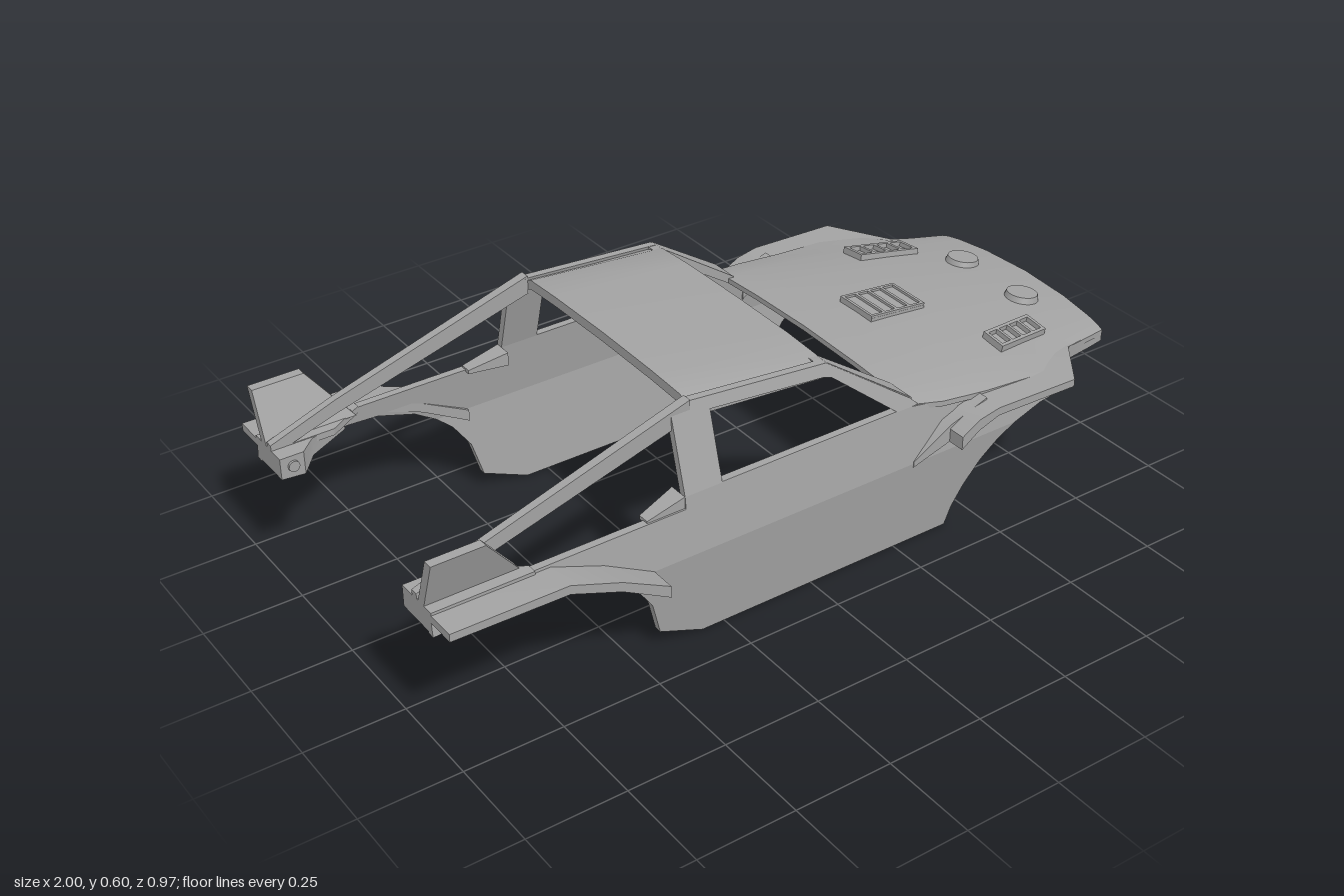
import * as THREE from 'three';
import { toCreasedNormals } from 'three/addons/utils/BufferGeometryUtils.js';

const grey = new THREE.MeshStandardMaterial({ color: 0xa3a3a3 });
grey.name = 'body grey';

// Turn a closed geometry so that its faces point outwards
function outward(geo) {
  const g = geo.index ? geo.toNonIndexed() : geo;
  const p = g.attributes.position;
  const a = new THREE.Vector3(), b = new THREE.Vector3(), c = new THREE.Vector3();
  let vol = 0;
  for (let i = 0; i < p.count; i += 3) {
    a.fromBufferAttribute(p, i); b.fromBufferAttribute(p, i + 1); c.fromBufferAttribute(p, i + 2);
    vol += a.dot(b.cross(c));
  }
  if (vol < 0) {
    for (let i = 0; i < p.count; i += 3) {
      b.fromBufferAttribute(p, i + 1); c.fromBufferAttribute(p, i + 2);
      p.setXYZ(i + 1, c.x, c.y, c.z); p.setXYZ(i + 2, b.x, b.y, b.z);
    }
  }
  g.deleteAttribute('uv');
  return toCreasedNormals(g, 0.5);
}

// Skin closed rings of [x, y, z] points; strip caps suit rings made of two facing rows
function loft(rings) {
  const n = rings[0].length, idx = [];
  for (let r = 0; r < rings.length - 1; r++) for (let i = 0; i < n; i++) {
    const j = (i + 1) % n, a = r * n, b = a + n;
    idx.push(a + i, a + j, b + j, a + i, b + j, b + i);
  }
  const last = (rings.length - 1) * n;
  for (let i = 0; i < n / 2 - 1; i++) {
    const q = [i, i + 1, n - 2 - i, n - 1 - i];
    idx.push(q[0], q[2], q[1], q[0], q[3], q[2]);
    idx.push(last + q[0], last + q[1], last + q[2], last + q[0], last + q[2], last + q[3]);
  }
  const g = new THREE.BufferGeometry();
  g.setAttribute('position', new THREE.Float32BufferAttribute(rings.flat(2), 3));
  g.setIndex(idx);
  return g;
}

// Four-sided beam through stations [x, yLow, yHigh, zIn, zOut]
const beam = (...st) => loft(st.map(([x, y0, y1, z0, z1]) =>
  [[x, y0, z0], [x, y1, z0], [x, y1, z1], [x, y0, z1]]));

// Curved shell across the car from half sections [x, [z, y]...]
const shell = (sections, t, bow = 0) => loft(sections.map(([x, ...h], k) => {
  const full = [...h.slice(1).reverse().map(([z, y]) => [-z, y]), ...h];
  const at = ([z, y], d) => [x - (k === sections.length - 1 ? bow * z * z : 0), y - d, z];
  return [...full.map(q => at(q, 0)), ...full.slice().reverse().map(q => at(q, t))];
}));

const shapeOf = (pts, holes = []) => {
  const v = a => a.map(q => new THREE.Vector2(...q));
  const s = new THREE.Shape(v(pts));
  s.holes = holes.map(h => new THREE.Path(v(h)));
  return s;
};

// Side sheet in x/y whose outer face leans by zAt(y)
function sheet(pts, holes, zAt, t = 0.02) {
  const g = new THREE.ExtrudeGeometry(shapeOf(pts, holes), { depth: t, bevelEnabled: false });
  const p = g.attributes.position;
  for (let i = 0; i < p.count; i++) p.setZ(i, p.getZ(i) - t + zAt(p.getY(i)));
  return g;
}

const box = (w, h, d, x, y, z) => new THREE.BoxGeometry(w, h, d).translate(x, y, z);

export function createModel() {
  const model = new THREE.Group();
  model.name = 'carBody';
  const add = (name, geo) => {
    const m = new THREE.Mesh(outward(geo), grey);
    m.name = name;
    model.add(m);
  };
  const pair = (name, geo) => {
    add(name + 'Left', geo.clone());
    add(name + 'Right', geo.clone().scale(1, 1, -1));
  };

  // Doors and sills, cut by the wheel arches
  pair('lowerSide', sheet([[-0.31, 0], [0.41, 0], [0.425, 0.05], [0.455, 0.105], [0.5, 0.165], [0.55, 0.21], [0.6, 0.24],
    [-0.54, 0.24], [-0.5, 0.205], [-0.455, 0.14], [-0.43, 0.05]], [], y => 0.395 + y * 0.1));
  pair('upperSide', sheet([[-0.54, 0.24], [0.6, 0.24], [0.68, 0.265], [0.76, 0.275], [0.76, 0.33], [0.5, 0.355], [0.28, 0.39],
    [-0.36, 0.39], [-0.36, 0.36], [-1, 0.36], [-1, 0.3], [-0.88, 0.305], [-0.78, 0.317], [-0.7, 0.313], [-0.6, 0.28]],
  [], y => 0.419 - (y - 0.24) * 0.12));
  // Window frame with the side window opening
  pair('windowFrame', sheet([[-0.36, 0.39], [0.3, 0.39], [0.28, 0.41], [0.06, 0.562], [-0.31, 0.592], [-0.36, 0.578]],
    [[[-0.26, 0.392], [-0.26, 0.558], [0.05, 0.532], [0.07, 0.525], [0.235, 0.392]]], y => 0.401 - (y - 0.39) * 0.28));

  // Roof and windscreen pillars
  add('roof', shell([
    [-0.31, [0, 0.6], [0.2, 0.597], [0.31, 0.592], [0.347, 0.575]],
    [0.065, [0, 0.57], [0.2, 0.568], [0.31, 0.562], [0.352, 0.548]]], 0.025));
  pair('windscreenPillar', beam([0.04, 0.535, 0.563, 0.31, 0.35], [0.065, 0.53, 0.56, 0.31, 0.352], [0.285, 0.385, 0.41, 0.315, 0.393]));
  // Rear roof buttress
  pair('buttress', beam([-0.31, 0.55, 0.597, 0.325, 0.35], [-0.83, 0.4, 0.437, 0.33, 0.35], [-1, 0.345, 0.375, 0.33, 0.35]));
  pair('buttressFoot', beam([-0.46, 0.355, 0.365, 0.37, 0.40], [-0.36, 0.355, 0.39, 0.35, 0.40]));

  // Bonnet and nose shell
  add('bonnet', shell([
    [0.27, [0, 0.42], [0.2, 0.415], [0.32, 0.408], [0.36, 0.402], [0.392, 0.393]],
    [0.37, [0, 0.412], [0.2, 0.408], [0.33, 0.397], [0.38, 0.387], [0.41, 0.377]],
    [0.5, [0, 0.402], [0.2, 0.397], [0.33, 0.383], [0.38, 0.372], [0.415, 0.362]],
    [0.72, [0, 0.38], [0.18, 0.374], [0.3, 0.36], [0.37, 0.352], [0.42, 0.347]],
    [0.83, [0, 0.365], [0.16, 0.36], [0.27, 0.347], [0.32, 0.34], [0.345, 0.333]],
    [1, [0, 0.34], [0.15, 0.336], [0.25, 0.328], [0.29, 0.322], [0.31, 0.316]]], 0.014, 0.2));
  pair('noseSide', beam([0.7, 0.29, 0.345, 0.4, 0.415], [0.76, 0.29, 0.343, 0.385, 0.4], [0.83, 0.298, 0.335, 0.33, 0.345],
    [0.94, 0.285, 0.32, 0.3, 0.317], [0.98, 0.285, 0.316, 0.295, 0.31]));

  // Flared wheel arches
  pair('frontFlare', beam([0.37, 0.28, 0.315, 0.39, 0.485], [0.42, 0.315, 0.345, 0.39, 0.485], [0.48, 0.336, 0.357, 0.39, 0.485],
    [0.72, 0.33, 0.35, 0.39, 0.485], [0.83, 0.315, 0.335, 0.32, 0.346]));
  pair('frontFlareRoot', beam([0.28, 0.23, 0.245, 0.4, 0.42], [0.37, 0.28, 0.325, 0.4, 0.44], [0.48, 0.335, 0.362, 0.39, 0.44]));
  pair('rearFlare', beam([-1, 0.335, 0.355, 0.39, 0.485], [-0.71, 0.33, 0.353, 0.39, 0.485], [-0.58, 0.28, 0.305, 0.39, 0.485],
    [-0.455, 0.21, 0.24, 0.39, 0.485]));

  // Rear deck, tail pods and fins
  pair('rearDeck', beam([-1, 0.345, 0.362, 0.33, 0.41], [-0.84, 0.345, 0.362, 0.33, 0.41], [-0.75, 0.345, 0.362, 0.385, 0.41]));
  pair('tailPod', beam([-1, 0.305, 0.36, 0.287, 0.395], [-0.94, 0.3, 0.36, 0.287, 0.395], [-0.9, 0.315, 0.36, 0.325, 0.395], [-0.8, 0.33, 0.36, 0.36, 0.395]));
  pair('tailPodEye', new THREE.CylinderGeometry(0.014, 0.014, 0.008, 16).rotateX(Math.PI / 2).translate(-0.968, 0.333, 0.285));
  pair('tailPodPin', new THREE.CylinderGeometry(0.014, 0.014, 0.02, 16).translate(-0.925, 0.303, 0.345));
  pair('fin', sheet([[-1, 0.36], [-0.77, 0.36], [-0.87, 0.488], [-1, 0.488]], [], y => 0.38 + (y - 0.36) * 0.35, 0.025));

  // Front fascia with grille and headlight openings
  const lamp = s => [[0.155, 0.27], [0.165, 0.3], [0.275, 0.306], [0.25, 0.272]].map(([z, y]) => [s * z, y]);
  const fascia = new THREE.ExtrudeGeometry(shapeOf(
    [[0, 0.25], [0.2, 0.253], [0.28, 0.266], [0.308, 0.296], [0.305, 0.314], [0.2, 0.328], [0, 0.334],
      [-0.2, 0.328], [-0.305, 0.314], [-0.308, 0.296], [-0.28, 0.266], [-0.2, 0.253]],
    [[[-0.11, 0.268], [-0.12, 0.314], [0.12, 0.314], [0.11, 0.268]], lamp(1), lamp(-1)]),
  { depth: 0.035, bevelEnabled: false }).rotateY(Math.PI / 2);
  const fp = fascia.attributes.position;
  for (let i = 0; i < fp.count; i++) {
    fp.setX(i, fp.getX(i) + 0.961 - 0.2 * fp.getZ(i) ** 2 - (0.334 - fp.getY(i)) * 0.2);
  }
  add('noseFascia', fascia);
  add('grilleBack', box(0.008, 0.055, 0.25, 0.95, 0.29, 0));
  for (const y of [0.279, 0.291, 0.303]) add('grilleSlat', box(0.02, 0.005, 0.23, 0.968, y, 0));
  add('grilleCentre', box(0.026, 0.044, 0.03, 0.969, 0.291, 0));
  pair('headlightBack', box(0.008, 0.042, 0.13, 0.935, 0.288, 0.215));
  pair('headlight', new THREE.CylinderGeometry(0.018, 0.018, 0.02, 20).rotateZ(Math.PI / 2).translate(0.947, 0.287, 0.218));

  // Round bonnet lamps and the frames beneath them
  pair('bonnetLamp', new THREE.CylinderGeometry(0.04, 0.047, 0.025, 28).rotateZ(-0.15).translate(0.88, 0.356, 0.115));
  const ring = new THREE.Shape().absellipse(0, 0, 0.085, 0.075, 0, Math.PI * 2);
  ring.holes.push(new THREE.Path().absellipse(0, 0, 0.068, 0.058, 0, Math.PI * 2));
  pair('lampFrame', new THREE.ExtrudeGeometry(ring, { depth: 0.025, bevelEnabled: false, curveSegments: 6 })
    .rotateX(Math.PI / 2).rotateZ(-0.12).translate(0.8, 0.349, 0.125));

  // Bonnet vents: skewed frame with slats
  const place = g => g.rotateX(Math.PI / 2).rotateX(0.1).rotateZ(-0.14).translate(0.725, 0.379, 0.262);
  const skew = (x, z) => [x, z - x * 0.17];
  const quad = (x0, x1, z) => [skew(x0, -z), skew(x1, -z), skew(x1, z), skew(x0, z)];
  const bars = [-0.076, -0.036, 0.004, 0.044];
  pair('sideVent', place(new THREE.ExtrudeGeometry(
    shapeOf(quad(-0.085, 0.085, 0.036), bars.map(x => quad(x, x + 0.032, 0.026))), { depth: 0.018, bevelEnabled: false })));
  pair('sideVentFloor', place(new THREE.ExtrudeGeometry(shapeOf(quad(-0.08, 0.08, 0.032)), { depth: 0.004, bevelEnabled: false })
    .translate(0, 0, 0.012)));

  // Centre vent
  const onBonnet = g => g.rotateZ(-0.1).translate(0.515, 0.403, 0);
  add('centreVentBase', onBonnet(box(0.17, 0.008, 0.125, 0, 0, 0)));
  for (const z of [-0.058, 0.058]) add('centreVentRail', onBonnet(box(0.17, 0.016, 0.008, 0, 0.002, z)));
  for (const x of [-0.081, -0.04, 0.0, 0.04, 0.081]) add('centreVentSlat', onBonnet(box(0.008, 0.016, 0.12, x, 0.002, 0)));

  // Inner brackets behind the front arches
  pair('innerBracket', box(0.03, 0.17, 0.03, 0.31, 0.19, 0.375));
  pair('innerBracketFoot', box(0.045, 0.03, 0.02, 0.31, 0.1, 0.38));

  return model;
}
